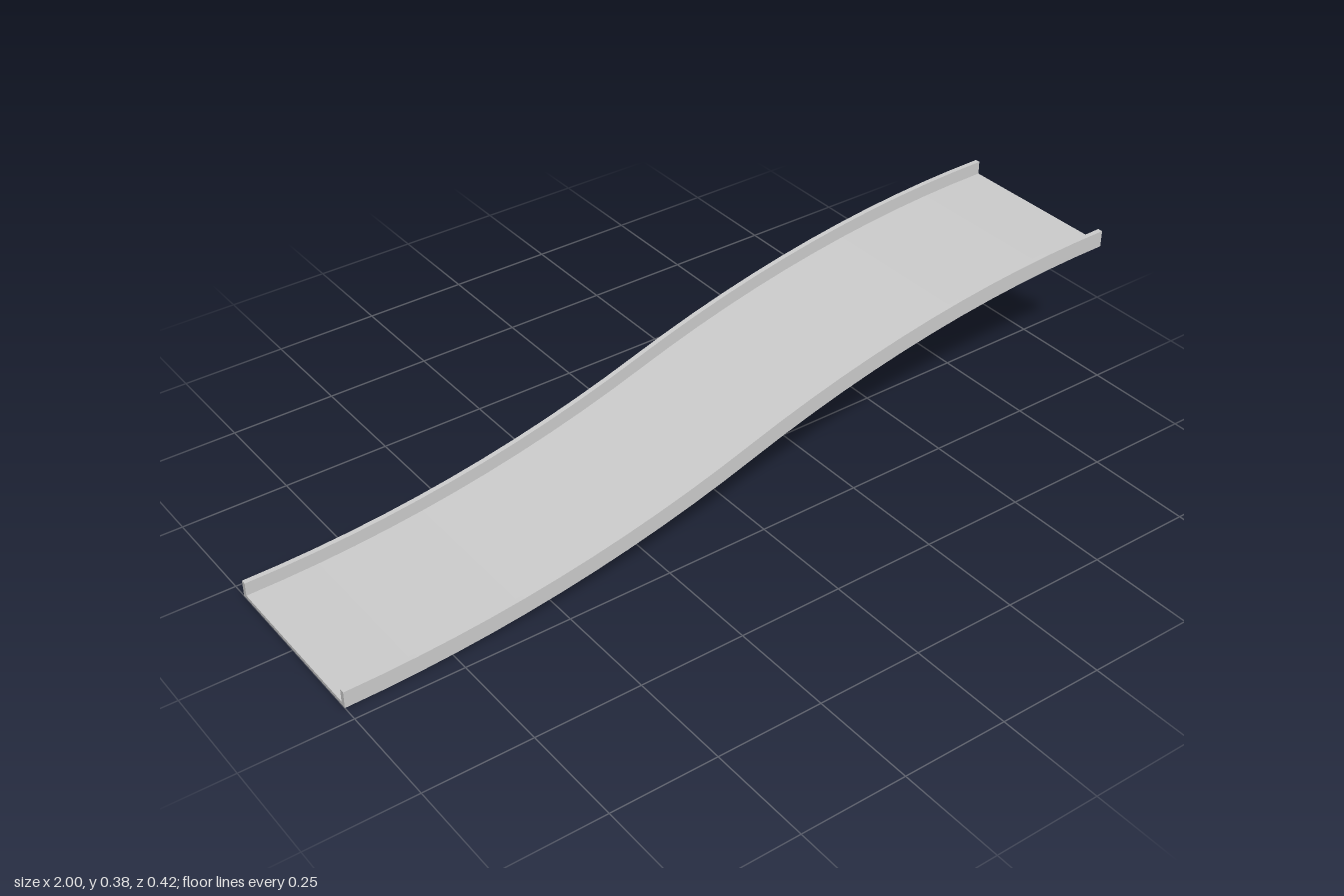
import * as THREE from 'three';

const RISE = 0.335;         // height gained by the underside
const HALF_WIDTH = 0.212;
const RAIL = 0.012;         // rail thickness
const RAIL_HEIGHT = 0.04;
const DECK_HEIGHT = 0.008;
const STEPS = 12;           // segments per arc

// Underside path: two mirrored arcs, level at both ends. Returns points and normals.
function pathSamples() {
  const angle = 2 * Math.atan(RISE / 2);
  const radius = 1 / Math.sin(angle);
  const samples = [];
  for (let i = -STEPS; i <= STEPS; i++) {
    const side = i < 0 ? -1 : 1;
    const a = angle * (1 - Math.abs(i) / STEPS);
    samples.push({
      x: side * (1 - radius * Math.sin(a)),
      y: RISE / 2 + side * (RISE / 2 - radius * (1 - Math.cos(a))),
      nx: -Math.sin(a),
      ny: Math.cos(a),
    });
  }
  return samples;
}

// Curved strip of a given height above the path, spanning z0 to z1
function strip(name, height, z0, z1, material) {
  const samples = pathSamples();
  const lower = samples.map(s => new THREE.Vector2(s.x, s.y));
  const upper = samples.map(s => new THREE.Vector2(s.x + s.nx * height, s.y + s.ny * height));
  const shape = new THREE.Shape([...lower, ...upper.reverse()]);
  const geometry = new THREE.ExtrudeGeometry(shape, { depth: z1 - z0, bevelEnabled: false });
  geometry.translate(0, 0, z0);
  const mesh = new THREE.Mesh(geometry, material);
  mesh.name = name;
  return mesh;
}

export function createModel() {
  const group = new THREE.Group();
  group.name = 'slopedTrack';
  const material = new THREE.MeshStandardMaterial({ color: 0xcccccc, flatShading: true });
  const inner = HALF_WIDTH - RAIL;

  // Thin deck between two side rails
  group.add(
    strip('deck', DECK_HEIGHT, -inner, inner, material),
    strip('frontRail', RAIL_HEIGHT, inner, HALF_WIDTH, material),
    strip('backRail', RAIL_HEIGHT, -HALF_WIDTH, -inner, material),
  );
  return group;
}
